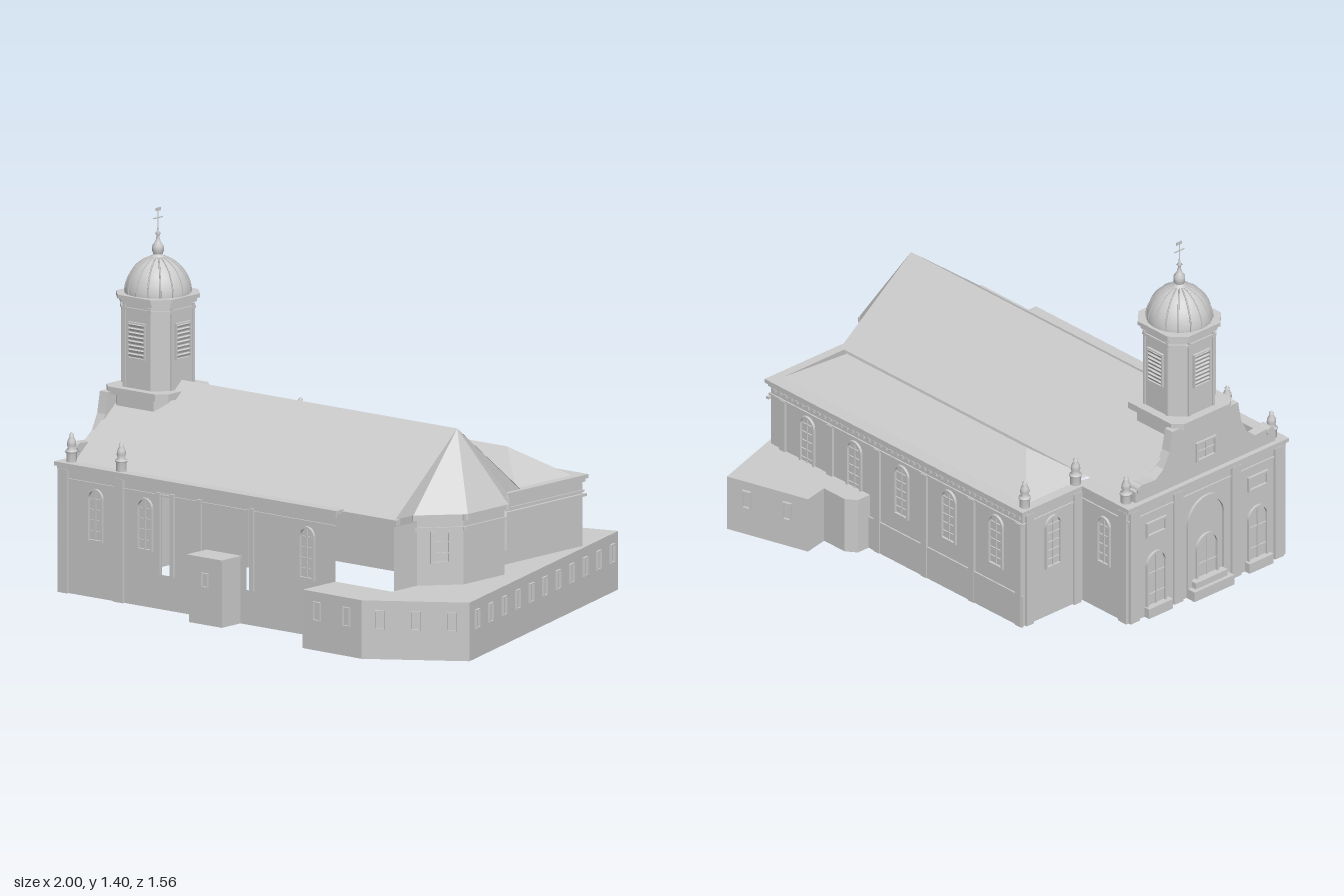
import * as THREE from 'three';

const stone = new THREE.MeshStandardMaterial({ color: 0xcccccc, side: THREE.DoubleSide });
stone.name = 'pale stone';
stone.flatShading = true;
const smoothStone = new THREE.MeshStandardMaterial({ color: 0xcccccc, side: THREE.DoubleSide });
smoothStone.name = 'smooth pale stone';

export function createModel() {
  const root = new THREE.Group();
  root.name = 'church';

  const add = (name, geo, parent = root, mat = stone) => {
    const m = new THREE.Mesh(geo, mat);
    m.name = name;
    parent.add(m);
    return m;
  };
  const box = (name, x0, x1, y0, y1, z0, z1, parent = root) => {
    const m = add(name, new THREE.BoxGeometry(x1 - x0, y1 - y0, z1 - z0), parent);
    m.position.set((x0 + x1) / 2, (y0 + y1) / 2, (z0 + z1) / 2);
    return m;
  };
  // Flat polygons from corner loops, each fanned from its first corner
  const polys = (name, list) => {
    const v = [];
    for (const p of list)
      for (let i = 1; i < p.length - 1; i++) v.push(...p[0], ...p[i], ...p[i + 1]);
    const g = new THREE.BufferGeometry();
    g.setAttribute('position', new THREE.Float32BufferAttribute(v, 3));
    g.computeVertexNormals();
    return add(name, g);
  };
  const outline = (w, h, arched, x = 0, y = 0, C = THREE.Shape) => {
    const s = new C(), r = w / 2;
    s.moveTo(x - r, y).lineTo(x + r, y);
    if (arched) s.lineTo(x + r, y + h - r).absarc(x, y + h - r, r, 0, Math.PI, false);
    else s.lineTo(x + r, y + h).lineTo(x - r, y + h);
    s.closePath();
    return s;
  };
  // Wall from a to b ([x, z], outside on the right-hand side), with optional holes;
  // the returned group has local x along the wall and local z pointing outward
  const wall = (name, a, b, y0, y1, holes = []) => {
    const dx = b[0] - a[0], dz = b[1] - a[1], L = Math.hypot(dx, dz);
    const g = new THREE.Group();
    g.name = name;
    g.position.set(a[0], 0, a[1]);
    g.rotation.y = Math.atan2(-dz, dx);
    g.userData.length = L;
    const s = outline(L, y1 - y0, false, L / 2, y0);
    holes.forEach(h => s.holes.push(outline(h[1], h[3] - h[2], false, h[0], h[2], THREE.Path)));
    add(name + 'Face', new THREE.ShapeGeometry(s), g);
    root.add(g);
    return g;
  };
  // Window: raised frame round a recessed pane, with glazing bars
  const opening = (g, name, u, y, w, h, arched = true, bars = 0, t = 0.008) => {
    const s = outline(w, h, arched);
    s.holes.push(outline(w - 2 * t, h - 2 * t, arched, 0, t, THREE.Path));
    const f = add(name + 'Frame', new THREE.ExtrudeGeometry(s, { depth: 0.01, bevelEnabled: false, curveSegments: 10 }), g);
    f.position.set(u, y, 0);
    for (let i = 1; i <= bars; i++) {
      const yy = y + h * i / (bars + 1);
      box(name + 'Bar', u - w / 2 + t, u + w / 2 - t, yy - 0.002, yy + 0.002, 0, 0.005, g);
    }
    if (bars) box(name + 'Mullion', u - 0.002, u + 0.002, y + t, y + h - t, 0, 0.005, g);
  };
  // Cornice, belt and plinth mouldings along a wall
  const moulding = (g, name, y0, y1, out, inward = 0, L = g.userData.length) =>
    box(name, -out, L + out, y0, y1, -inward, out, g);
  const cornice = (g, inward = 0.03) => {
    moulding(g, 'corniceTop', 0.475, 0.49, 0.016, inward);
    moulding(g, 'corniceLower', 0.462, 0.475, 0.008);
    moulding(g, 'frieze', 0.425, 0.432, 0.006);
  };
  const pilaster = (g, u, w = 0.035, top = 0.465) => box('pilaster', u - w / 2, u + w / 2, 0, top, 0, 0.01, g);

  // South nave wall, broken by open slots and the void over the porch
  const south = wall('southWall', [-0.955, 0.585], [0.38, 0.585], 0, 0.48, [
    [0.515, 0.04, 0.13, 0.44], [0.795, 0.16, 0.2, 0.44], [0.915, 0.022, 0.13, 0.44],
  ]);
  cornice(south);
  [0.175, 0.415, 1.2].forEach(u => opening(south, 'southWindow', u, 0.21, 0.075, 0.2, true, 4));
  [0.02, 0.29].forEach(u => pilaster(south, u, 0.045));
  [0.482, 0.548, 0.68, 0.935].forEach(u => box('slotPier', u - 0.009, u + 0.009, 0.13, 0.44, 0, 0.01, south));

  // North aisle and the exposed north end of the nave
  const north = wall('northWall', [0.655, -0.49], [-0.705, -0.49], 0, 0.48);
  cornice(north, 0.05);
  for (let i = 0; i < 5; i++) opening(north, 'northWindow', 0.2 + i * 0.255, 0.2, 0.08, 0.215, true, 5);
  for (let i = 0; i < 6; i++) pilaster(north, 0.07 + i * 0.255, 0.03, 0.43);
  for (let i = 0; i < 45; i++) box('dentil', 0.02 + i * 0.03, 0.032 + i * 0.03, 0.447, 0.462, 0, 0.01, north);
  moulding(north, 'plinth', 0, 0.13, 0.006);
  const aisleWest = wall('aisleWestWall', [-0.705, -0.49], [-0.705, -0.19], 0, 0.48);
  cornice(aisleWest, 0.05);
  opening(aisleWest, 'aisleWindow', 0.15, 0.2, 0.08, 0.215, true, 5);
  pilaster(aisleWest, 0.03);
  pilaster(aisleWest, 0.27);
  const naveNorth = wall('naveNorthWall', [-0.705, -0.19], [-0.955, -0.19], 0, 0.48);
  cornice(naveNorth);
  opening(naveNorth, 'naveNorthWindow', 0.12, 0.2, 0.07, 0.2, true, 4);
  pilaster(naveNorth, 0.225, 0.045);

  // East walls either side of the apse
  wall('eastWallSouth', [0.655, 0.575], [0.655, 0.445], 0, 0.46);
  const east = wall('eastWallNorth', [0.655, -0.045], [0.655, -0.49], 0, 0.48);
  cornice(east);
  moulding(east, 'eastBelt', 0.408, 0.418, 0.012);

  // West front with portal, side doors, panels and steps
  const west = wall('westFront', [-0.955, -0.19], [-0.955, 0.585], 0, 0.48);
  cornice(west, 0.05);
  [0.025, 0.245, 0.535, 0.75].forEach(u => pilaster(west, u, 0.045));
  opening(west, 'portalArch', 0.39, 0, 0.2, 0.4, true, 0, 0.02);
  opening(west, 'portalDoor', 0.39, 0, 0.11, 0.24, true, 1);
  [0.135, 0.645].forEach(u => {
    opening(west, 'sideDoor', u, 0, 0.1, 0.26, true, 2);
    opening(west, 'upperPanel', u, 0.33, 0.1, 0.06, false);
  });
  box('portalStepLower', -1, -0.955, 0, 0.04, 0.1, 0.3);
  box('portalStepUpper', -0.985, -0.955, 0.04, 0.065, 0.12, 0.28);
  [-0.05, 0.455].forEach(z => box('doorStep', -0.98, -0.955, 0, 0.04, z - 0.06, z + 0.06));

  // Gable with sweeping volutes
  const half = [[0.35, 0.49], [0.35, 0.535], [0.325, 0.555], [0.25, 0.55], [0.21, 0.58], [0.18, 0.64], [0.165, 0.72]];
  const gs = new THREE.Shape([...half, ...half.slice().reverse().map(([u, y]) => [-u, y])].map(p => new THREE.Vector2(...p)));
  const gable = add('westGable', new THREE.ExtrudeGeometry(gs, { depth: 0.04, bevelEnabled: false }));
  gable.rotation.y = -Math.PI / 2;
  gable.position.set(-0.91, 0, 0.2);
  for (const s of [-1, 1]) {
    const scroll = add('voluteScroll', new THREE.CylinderGeometry(0.018, 0.018, 0.05, 14));
    scroll.rotation.z = Math.PI / 2;
    scroll.position.set(-0.93, 0.54, 0.2 + s * 0.325);
  }
  const gableFront = new THREE.Group();
  gableFront.name = 'gablePanel';
  gableFront.position.set(-0.95, 0, 0.2);
  gableFront.rotation.y = -Math.PI / 2;
  root.add(gableFront);
  opening(gableFront, 'gableWindow', 0, 0.55, 0.1, 0.08, false, 1);

  // Main roof, hipped aisle roof and the faceted apse roof
  const W = -0.92, E = 0.64;
  polys('mainRoof', [
    [[W, 0.485, 0.56], [0.65, 0.485, 0.56], [E, 0.77, 0.2], [W, 0.77, 0.2]],
    [[0.655, 0.49, -0.14], [W, 0.49, -0.14], [W, 0.77, 0.2], [E, 0.77, 0.2]],
  ]);
  box('naveGutter', W, -0.69, 0.478, 0.488, -0.19, -0.13);
  box('southEave', 0.38, 0.66, 0.465, 0.485, 0.545, 0.57);
  const A = [-0.68, 0.49, -0.45], B = [0.635, 0.49, -0.45], C = [0.635, 0.49, -0.14], D = [-0.68, 0.49, -0.14];
  const r0 = [-0.51, 0.6, -0.29], r1 = [0.46, 0.6, -0.29];
  polys('aisleRoof', [[B, A, r0, r1], [D, C, r1, r0], [A, D, r0], [C, B, r1]]);
  const apse = [[0.655, 0.445], [0.77, 0.315], [0.77, 0.085], [0.655, -0.045]];
  const eave = [[0.65, 0.56], [0.655, 0.465], [0.79, 0.315], [0.79, 0.085], [0.655, -0.065], [0.655, -0.14]];
  polys('apseRoof', eave.slice(1).map((p, i) =>
    [[eave[i][0], 0.487, eave[i][1]], [p[0], 0.487, p[1]], [E, 0.77, 0.2]]));
  for (let i = 0; i < 3; i++) {
    const g = wall('apseWall', apse[i], apse[i + 1], 0, 0.485), L = g.userData.length;
    moulding(g, 'apseCornice', 0.465, 0.487, 0.016);
    moulding(g, 'apseFrieze', 0.425, 0.438, 0.008);
    if (i !== 1) opening(g, 'apseWindow', L / 2, 0.3, 0.075, 0.125, false, 2);
  }

  // Pinnacles at the corners
  const pin = [[0.02, 0], [0.02, 0.035], [0.024, 0.037], [0.024, 0.043], [0.013, 0.05], [0.018, 0.065], [0.016, 0.08], [0.008, 0.095], [0.01, 0.102], [0, 0.113]];
  const pinGeo = new THREE.LatheGeometry(pin.map(p => new THREE.Vector2(...p)), 10);
  [[-0.69, -0.465], [-0.69, -0.21], [-0.92, -0.17], [-0.92, 0.56], [-0.67, 0.57]].forEach(([x, z]) =>
    add('pinnacle', pinGeo, root, smoothStone).position.set(x, 0.488, z));

  // Tower: chamfered square shaft with mouldings
  const tower = new THREE.Group();
  tower.name = 'tower';
  tower.position.set(-0.81, 0, 0.2);
  root.add(tower);
  const block = (name, r, c, y0, y1) => {
    const pts = [[r, r - c], [r - c, r], [c - r, r], [-r, r - c], [-r, c - r], [c - r, -r], [r - c, -r], [r, c - r]];
    const s = new THREE.Shape(pts.map(p => new THREE.Vector2(...p)));
    const m = add(name, new THREE.ExtrudeGeometry(s, { depth: y1 - y0, bevelEnabled: false }), tower);
    m.rotation.x = -Math.PI / 2;
    m.position.y = y0;
  };
  block('towerBase', 0.13, 0.04, 0.49, 0.715);
  block('towerBaseMoulding', 0.15, 0.035, 0.712, 0.738);
  block('towerShaft', 0.116, 0.05, 0.73, 1.06);
  block('towerNeckMoulding', 0.122, 0.05, 1.03, 1.04);
  block('towerCorniceLower', 0.125, 0.05, 1.055, 1.07);
  block('towerCornice', 0.135, 0.055, 1.07, 1.085);
  for (let k = 0; k < 4; k++) {
    const side = new THREE.Group();
    side.name = 'belfrySide';
    side.rotation.y = k * Math.PI / 2;
    tower.add(side);
    const f = new THREE.Group();
    f.name = 'belfryOpening';
    f.position.z = 0.116;
    side.add(f);
    opening(f, 'louvre', 0, 0.85, 0.084, 0.138, false, 0, 0.005);
    for (let i = 0; i < 8; i++) {
      const slat = box('louvreSlat', -0.037, 0.037, 0.859 + i * 0.016, 0.869 + i * 0.016, 0, 0.008, f);
      slat.rotation.x = 0.4;
    }
    [-0.061, 0.061].forEach(x => box('towerPilaster', x - 0.005, x + 0.005, 0.74, 1.05, 0, 0.006, f));
  }

  // Dome with ribs, finial and weathervane
  const domePts = [[0.122, 1.085], [0.122, 1.1], [0.115, 1.13], [0.1, 1.16], [0.078, 1.187], [0.05, 1.207], [0.025, 1.218], [0.016, 1.23]];
  add('dome', new THREE.LatheGeometry(domePts.map(p => new THREE.Vector2(...p)), 32), tower, smoothStone);
  const ribCurve = new THREE.CatmullRomCurve3(domePts.slice(0, 7).map(([r, y]) => new THREE.Vector3(r, y, 0)));
  const ribGeo = new THREE.TubeGeometry(ribCurve, 12, 0.003, 4);
  for (let i = 0; i < 16; i++) add('domeRib', ribGeo, tower, smoothStone).rotation.y = i * Math.PI / 8;
  const fin = [[0.016, 1.225], [0.022, 1.24], [0.022, 1.258], [0.013, 1.27], [0.007, 1.285], [0.005, 1.3], [0.011, 1.305], [0.005, 1.312], [0.002, 1.33], [0.002, 1.4]];
  add('finial', new THREE.LatheGeometry(fin.map(p => new THREE.Vector2(...p)), 12), tower, smoothStone);
  box('vaneArm', -0.002, 0.002, 1.362, 1.366, -0.025, 0.025, tower);
  box('vaneTail', -0.002, 0.002, 1.39, 1.402, -0.016, 0.012, tower);

  // South porch
  box('porch', -0.24, -0.08, 0, 0.245, 0.585, 0.69);
  box('porchRoof', -0.245, -0.075, 0.245, 0.255, 0.585, 0.697);
  const porchFront = new THREE.Group();
  porchFront.name = 'porchFront';
  porchFront.position.set(-0.16, 0, 0.69);
  root.add(porchFront);
  opening(porchFront, 'porchWindow', 0, 0.14, 0.032, 0.055, false, 0, 0.004);

  // Low annex wrapping the east end: flat roof, open below
  const ring = [[0.38, 0.585], [0.38, 0.77], [0.67, 0.775], [1, 0.55], [0.58, -0.78], [0.25, -0.68], [0.27, -0.58], [0.16, -0.58], [0.12, -0.55], [0.12, -0.49]];
  const counts = [0, 2, 3, 11, 2, 0, 0, 0, 0];
  for (let i = 0; i < ring.length - 1; i++) {
    const g = wall('annexWall', ring[i], ring[i + 1], 0, 0.22), L = g.userData.length;
    for (let k = 0; k < counts[i]; k++)
      opening(g, 'annexWindow', L * (k + 0.5) / counts[i], 0.112, 0.036, 0.072, false, 0, 0.004);
  }
  const roofShape = new THREE.Shape([...ring, [0.655, -0.49], [0.655, 0.585]].map(([x, z]) => new THREE.Vector2(x, -z)));
  const annexRoof = add('annexRoof', new THREE.ShapeGeometry(roofShape));
  annexRoof.rotation.x = -Math.PI / 2;
  annexRoof.position.y = 0.22;

  return root;
}
